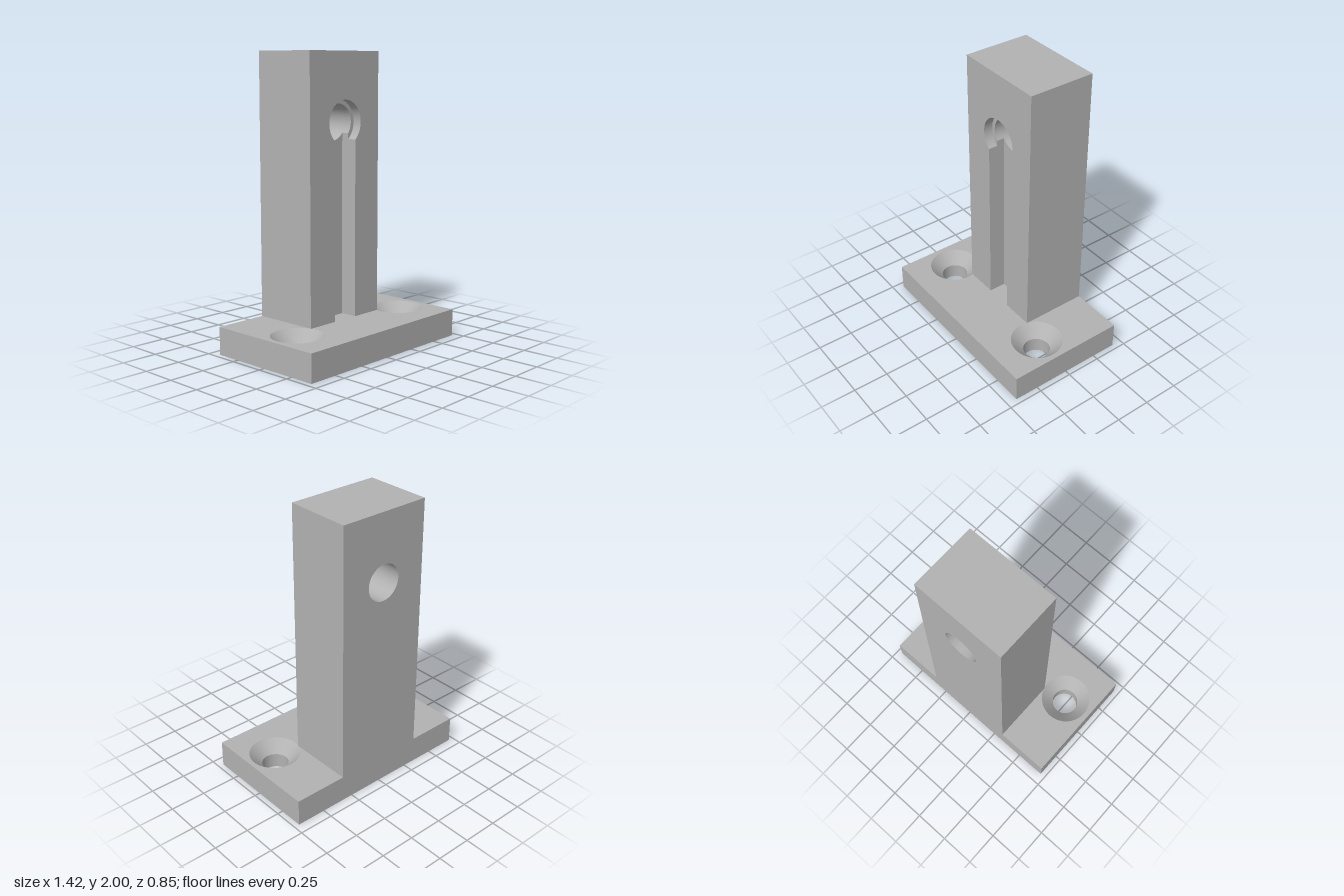
import * as THREE from 'three';
import { toCreasedNormals } from 'three/addons/utils/BufferGeometryUtils.js';

const BASE = { x: 0.712, z: 0.427, h: 0.19 };
const POST = { x: 0.332, top: 2, back: -0.427, front: 0.047 };
const SCREW = { x: 0.5, z: 0.092, r: 0.092, headR: 0.177, depth: 0.085 };
const BORE = { y: 1.527, r: 0.126, counterR: 0.153, counterDepth: 0.065 };
const SLOT = { half: 0.1, depth: 0.12 };

function circle(x, y, r) {
  return new THREE.Path().absarc(x, y, r, 0, Math.PI * 2, true);
}

function rect(x0, y0, x1, y1) {
  return new THREE.Shape([[x0, y0], [x1, y0], [x1, y1], [x0, y1]].map(p => new THREE.Vector2(...p)));
}

function extrude(shape, depth) {
  const g = new THREE.ExtrudeGeometry(shape, { depth, bevelEnabled: false, curveSegments: 32 });
  return toCreasedNormals(g, 0.5);
}

// Post face open at the bottom: a slot running up into a round bore
function keyholeShape(r) {
  const drop = Math.sqrt(r * r - SLOT.half * SLOT.half);
  const s = new THREE.Shape();
  s.moveTo(-POST.x, BASE.h);
  s.lineTo(-SLOT.half, BASE.h);
  s.lineTo(-SLOT.half, BORE.y - drop);
  s.absarc(0, BORE.y, r, Math.atan2(-drop, -SLOT.half), Math.atan2(-drop, SLOT.half), true);
  s.lineTo(SLOT.half, BASE.h);
  s.lineTo(POST.x, BASE.h);
  s.lineTo(POST.x, POST.top);
  s.lineTo(-POST.x, POST.top);
  s.closePath();
  return s;
}

export function createModel() {
  const model = new THREE.Group();
  model.name = 'mountingPost';
  const grey = new THREE.MeshStandardMaterial({ color: 0xb2b2b2 });
  grey.name = 'plain grey';

  const add = (name, geometry, x = 0, y = 0, z = 0) => {
    const mesh = new THREE.Mesh(geometry, grey);
    mesh.name = name;
    mesh.position.set(x, y, z);
    model.add(mesh);
  };

  // Base plate: lower layer with screw holes, upper layer with wider head openings
  const plate = (name, holeR, y, height) => {
    const s = rect(-BASE.x, -BASE.z, BASE.x, BASE.z);
    for (const side of [-1, 1]) s.holes.push(circle(side * SCREW.x, -SCREW.z, holeR));
    add(name, extrude(s, height).rotateX(-Math.PI / 2), 0, y, 0);
  };
  const seatY = BASE.h - SCREW.depth;
  plate('baseLower', SCREW.r, 0, seatY);
  plate('baseUpper', SCREW.headR, seatY, SCREW.depth);

  // Conical countersinks, facing inward
  for (const side of [-1, 1]) {
    const cone = new THREE.LatheGeometry([
      new THREE.Vector2(SCREW.headR, BASE.h),
      new THREE.Vector2(SCREW.r, seatY),
    ], 64);
    add(side > 0 ? 'countersinkLeft' : 'countersinkRight', cone, side * SCREW.x, 0, SCREW.z);
  }

  // Post: solid back with through bore, slotted middle, slotted front with counterbore
  const slotBack = POST.front - SLOT.depth;
  const counterBack = POST.front - BORE.counterDepth;
  const back = rect(-POST.x, BASE.h, POST.x, POST.top);
  back.holes.push(circle(0, BORE.y, BORE.r));
  add('postBack', extrude(back, slotBack - POST.back), 0, 0, POST.back);
  add('postMiddle', extrude(keyholeShape(BORE.r), counterBack - slotBack), 0, 0, slotBack);
  add('postFront', extrude(keyholeShape(BORE.counterR), BORE.counterDepth), 0, 0, counterBack);

  return model;
}
